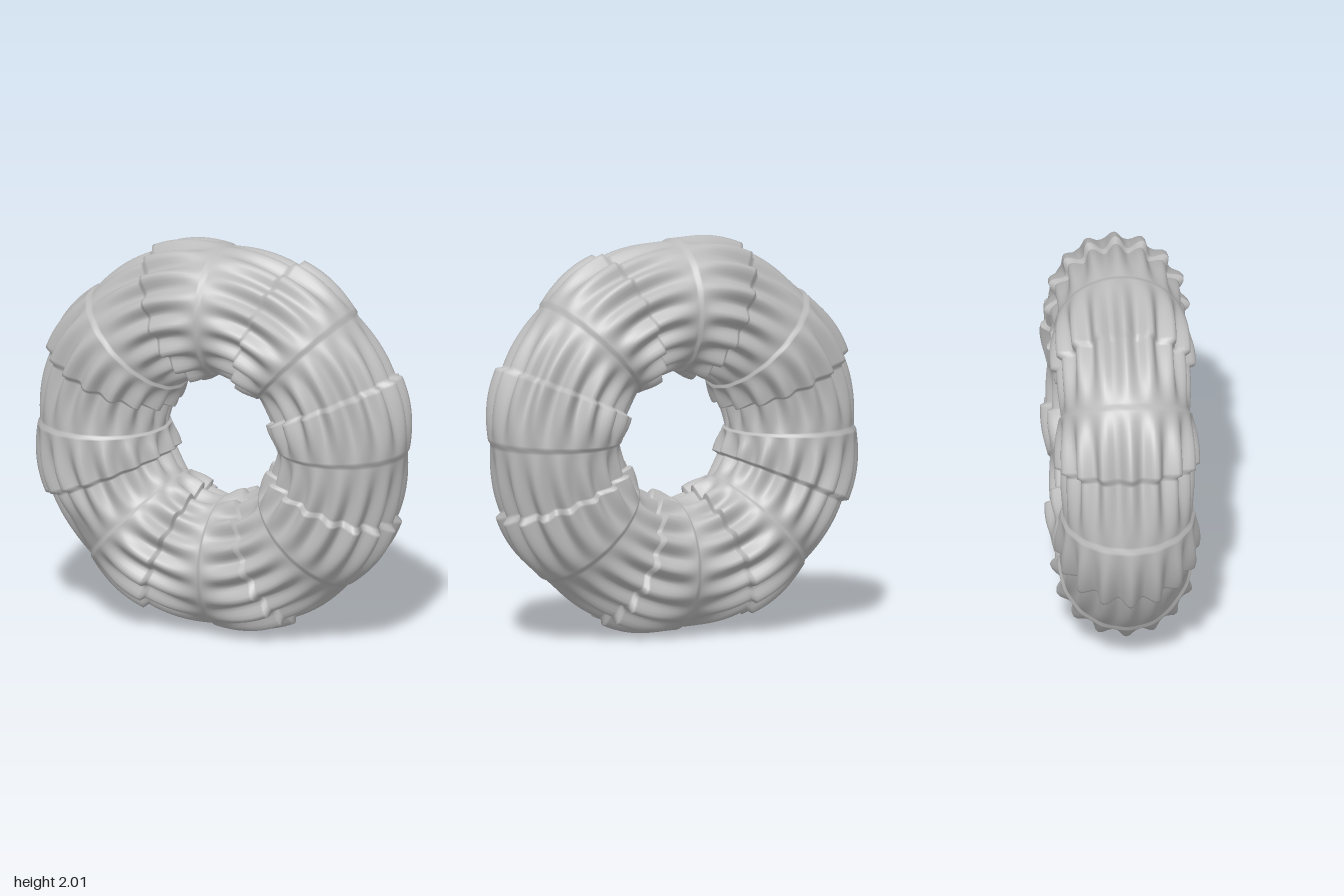
import * as THREE from 'three';
import { mergeVertices } from 'three/addons/utils/BufferGeometryUtils.js';

const RING = 0.66;      // centre line radius
const SECTORS = 8;      // repeated scale-like sections around the ring
const RIBS = 16;        // lengthwise ribs around the tube
const STEPS = 24;       // mesh segments in each half section

const lerp = THREE.MathUtils.lerp;

// Tube radius at ring segment i and tube angle v
function tubeRadius(i, v) {
  const total = SECTORS * 2 * STEPS;
  const k = (i - 1 + total) % total;          // lips fall between segments
  const half = Math.floor(k / STEPS);
  const t = (k % STEPS) / (STEPS - 1);
  const u = (i / total) * Math.PI * 2;

  // first half swells out to a wavy lip, second half settles to a round seam
  const rising = half % 2 === 0;
  const fade = rising ? Math.sin(t * Math.PI / 2) : Math.cos(t * Math.PI / 2);
  const base = rising ? lerp(0.338, 0.343, Math.sin(t * Math.PI)) : lerp(0.314, 0.326, t);
  const depth = (rising ? 0.03 : 0.024) * fade;

  // one worn, smoother patch on the lower front
  const du = (u - 3.8) / 0.2, dv = (v - 0.9) / 0.38;
  const worn = Math.exp(-du * du - dv * dv);
  return base + depth * Math.cos(RIBS * v) * (1 - worn) - 0.02 * worn;
}

function ribbedRingGeometry() {
  const around = SECTORS * 2 * STEPS, tube = 144;
  const geometry = new THREE.TorusGeometry(RING, 0.33, tube, around);
  const pos = geometry.attributes.position;
  for (let n = 0; n < pos.count; n++) {
    const i = (n % (around + 1)) % around;
    const j = Math.floor(n / (around + 1)) % tube;
    const u = (i / around) * Math.PI * 2;
    const v = (j / tube) * Math.PI * 2;
    const r = tubeRadius(i, v > Math.PI ? v - Math.PI * 2 : v);
    const d = RING + r * Math.cos(v);
    pos.setXYZ(n, d * Math.cos(u), d * Math.sin(u), r * Math.sin(v));
  }
  // weld the ends so shading runs smoothly round the ring
  geometry.deleteAttribute('uv');
  geometry.deleteAttribute('normal');
  const welded = mergeVertices(geometry, 1e-5);
  welded.computeVertexNormals();
  return welded;
}

export function createModel() {
  const group = new THREE.Group();
  group.name = 'ribbedRing';
  const grey = new THREE.MeshStandardMaterial({ color: 0xbcbcbc });
  grey.name = 'lightGrey';

  const ring = new THREE.Mesh(ribbedRingGeometry(), grey);
  ring.name = 'ringBody';
  ring.position.y = 1;
  group.add(ring);
  return group;
}
